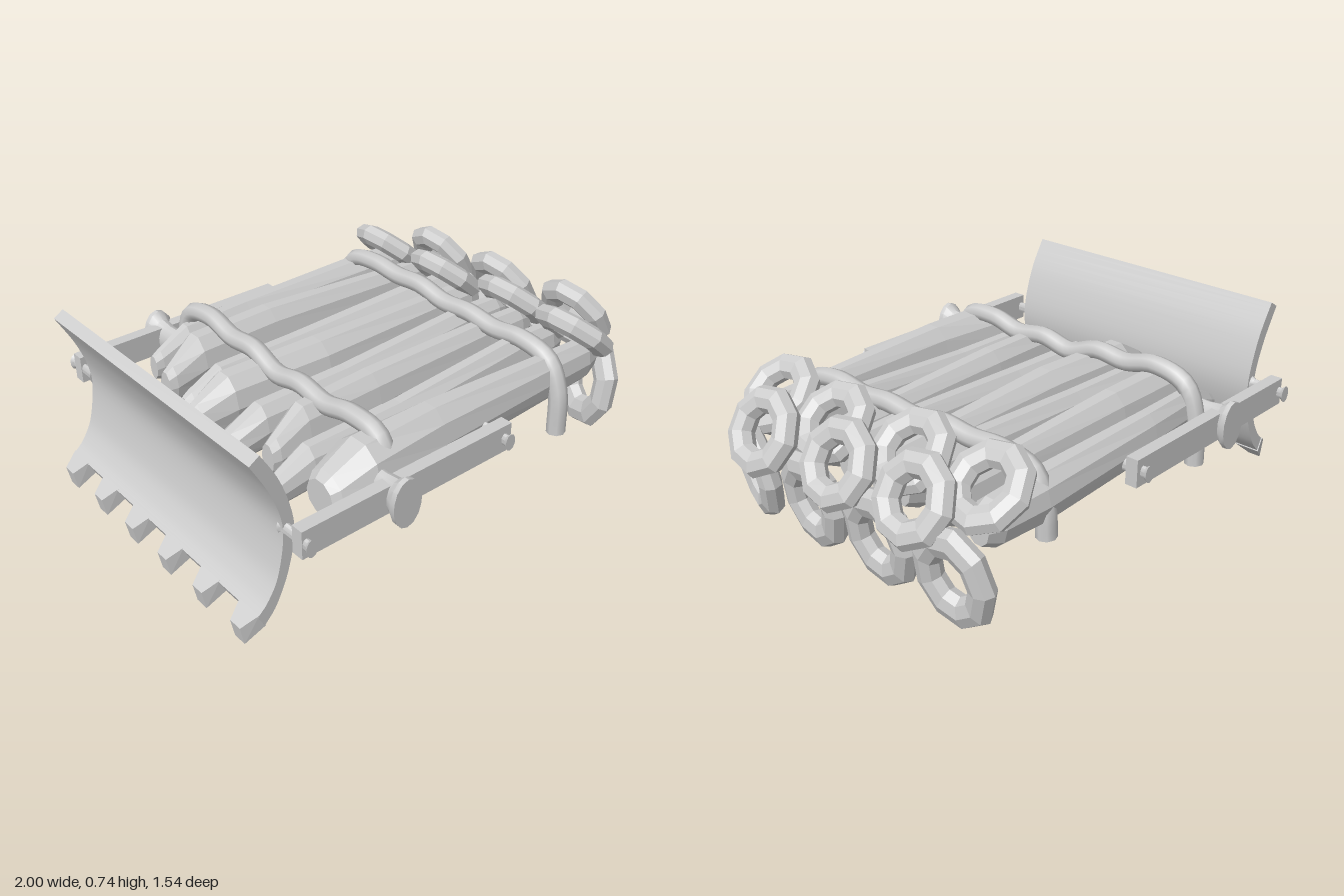
import * as THREE from 'three';
import { toCreasedNormals } from 'three/addons/utils/BufferGeometryUtils.js';

const flat = new THREE.MeshStandardMaterial({ color: 0xcccccc, flatShading: true });
const smooth = new THREE.MeshStandardMaterial({ color: 0xcccccc });

function add(parent, name, geometry, material = flat) {
  const mesh = new THREE.Mesh(geometry, material);
  mesh.name = name;
  parent.add(mesh);
  return mesh;
}

// Loft of ten-sided rings along x; each station is [x, y, z, halfHeight, halfWidth]
function loftLog(stations) {
  const last = stations.length - 1;
  const geo = new THREE.CylinderGeometry(1.04, 1.04, last, 10, last);
  geo.rotateZ(Math.PI / 2); // axis now runs along x
  const p = geo.attributes.position;
  for (let i = 0; i < p.count; i++) {
    const [x, y, z, h, w] = stations[Math.round(p.getX(i) + last / 2)];
    p.setXYZ(i, x, y + p.getY(i) * h, z + p.getZ(i) * w);
  }
  geo.computeVertexNormals();
  return geo;
}

// Round part along z, from a profile of [radius, z]
function turned(profile, sides, heightScale) {
  const geo = new THREE.LatheGeometry(profile.map(([r, z]) => new THREE.Vector2(r, z)), sides);
  geo.rotateX(Math.PI / 2);
  geo.scale(1, heightScale, 1);
  return toCreasedNormals(geo, 0.6);
}

function buildBlade() {
  const blade = new THREE.Group();
  blade.name = 'blade';
  const v = (x, y) => new THREE.Vector2(x, y);
  const shape = new THREE.Shape();
  shape.moveTo(-0.92, 0.065);
  shape.splineThru([v(-0.865, 0.13), v(-0.81, 0.26), v(-0.785, 0.42), v(-0.83, 0.6), v(-0.905, 0.74)]);
  shape.lineTo(-0.945, 0.715);
  shape.splineThru([v(-0.87, 0.57), v(-0.83, 0.42), v(-0.855, 0.25), v(-0.9, 0.16), v(-0.945, 0.115)]);
  const geo = new THREE.ExtrudeGeometry(shape, { depth: 1.225, bevelEnabled: false, curveSegments: 4 });
  geo.translate(0, 0, -0.615);
  add(blade, 'bladePlate', toCreasedNormals(geo, 0.6), smooth);

  // Tapered teeth along the lower lip
  for (let i = 0; i < 6; i++) {
    const z = -0.565 + i * 0.224;
    const tooth = new THREE.BoxGeometry(1, 1, 1);
    const p = tooth.attributes.position;
    for (let k = 0; k < p.count; k++) {
      const tip = p.getX(k) < 0, top = p.getY(k) > 0;
      const x = tip ? (top ? -1 : -0.985) : (top ? -0.94 : -0.915);
      const y = tip ? (top ? 0.08 : 0.003) : (top ? 0.12 : 0.064);
      p.setXYZ(k, x, y, z + p.getZ(k) * (tip ? 0.055 : 0.11));
    }
    add(blade, 'bladeTooth', tooth);
  }
  return blade;
}

function buildArm(side) {
  const arm = new THREE.Group();
  arm.name = side > 0 ? 'frontArm' : 'backArm';
  const bar = add(arm, 'armBar', new THREE.BoxGeometry(0.945, 0.11, 0.05));
  bar.position.set(-0.36, 0.415, 0);
  // Flared pivot hub
  const hub = add(arm, 'pivotHub',
    turned([[0, -0.13], [0.045, -0.13], [0.042, -0.03], [0.047, 0.03], [0.063, 0.06], [0.063, 0.08], [0, 0.08]], 14, 1.55), smooth);
  hub.position.set(-0.435, 0.415, side > 0 ? 0 : -0.022);
  // Headed pins at both ends
  for (const x of [-0.815, 0.08]) {
    const pin = add(arm, 'armPin',
      turned([[0, -0.1], [0.023, -0.1], [0.016, -0.085], [0.016, 0.04], [0.024, 0.055], [0, 0.055]], 10, 1.45), smooth);
    pin.position.set(x, 0.415, 0);
  }
  if (side < 0) arm.rotation.x = Math.PI;
  arm.position.set(0, side < 0 ? 0.83 : 0, side > 0 ? 0.685 : -0.713);
  return arm;
}

// Rope over the logs: heights run from front to back, ends hang down on both sides
function buildRope(name, x, heights, frontEnd, backEnd) {
  const points = [new THREE.Vector3(x, frontEnd, 0.615), new THREE.Vector3(x, 0.4, 0.603)];
  heights.forEach((y, i) => points.push(new THREE.Vector3(x, y, 0.545 - i * 0.142)));
  points.push(new THREE.Vector3(x, 0.42, -0.645), new THREE.Vector3(x, backEnd, -0.655));
  const rope = new THREE.Group();
  rope.name = name;
  add(rope, 'ropeBand', new THREE.TubeGeometry(new THREE.CatmullRomCurve3(points), 56, 0.038, 8), smooth);
  for (const end of [points[0], points[points.length - 1]]) {
    const cap = add(rope, 'ropeEnd', new THREE.CircleGeometry(0.038, 8));
    cap.position.copy(end);
    cap.rotation.x = Math.PI / 2;
  }
  return rope;
}

function buildRing(x, y, z, tilt, stretch = 1, yaw = 0) {
  const geo = new THREE.TorusGeometry(0.12, 0.053, 8, 9);
  geo.scale(1, stretch, 0.85);
  const ring = new THREE.Mesh(geo, flat);
  ring.name = 'ring';
  ring.position.set(x, y, z);
  ring.rotation.set(0, Math.PI / 2 - yaw, tilt, 'ZYX'); // yaw turns the ring towards +z
  return ring;
}

export function createModel() {
  const model = new THREE.Group();
  model.name = 'logRaftPlow';

  // Logs: start x, centre y, [z, halfWidth] at the tip, shoulder, middle and far end, halfHeight
  const logs = [
    [-0.58, 0.43, [-0.57, 0.035], [-0.575, 0.05], [-0.59, 0.06], [-0.6, 0.08], 0.09],
    [-0.63, 0.44, [-0.4, 0.045], [-0.425, 0.08], [-0.43, 0.078], [-0.42, 0.06], 0.115],
    [-0.64, 0.41, [-0.26, 0.04], [-0.255, 0.055], [-0.25, 0.06], [-0.24, 0.07], 0.09],
    [-0.7, 0.43, [-0.13, 0.05], [-0.125, 0.085], [-0.105, 0.09], [-0.12, 0.065], 0.115],
    [-0.68, 0.4, [0.05, 0.055], [0.055, 0.065], [0.06, 0.065], [0.05, 0.06], 0.095],
    [-0.61, 0.43, [0.23, 0.045], [0.21, 0.068], [0.2, 0.075], [0.18, 0.06], 0.11],
    [-0.7, 0.395, [0.36, 0.04], [0.36, 0.058], [0.36, 0.062], [0.35, 0.055], 0.09],
    [-0.61, 0.43, [0.52, 0.09], [0.53, 0.115], [0.53, 0.09], [0.53, 0.06], 0.122],
  ];
  const logGroup = new THREE.Group();
  logGroup.name = 'logs';
  for (const [x, y, tip, shoulder, mid, end, h] of logs) {
    add(logGroup, 'log', loftLog([
      [x, y - 0.045, tip[0], h * 0.55, tip[1] * 0.75],
      [x + 0.03, y - 0.04, tip[0], h * 0.7, tip[1]],
      [x + 0.16, y, shoulder[0], h, shoulder[1]],
      [-0.12, y + 0.005, mid[0], h, mid[1]],
      [0.5, 0.43, end[0], 0.097, end[1]],
      [0.7, 0.43, end[0], 0.088, end[1] * 0.9],
      [0.76, 0.43, end[0], 0.06, end[1] * 0.6],
    ]));
  }
  model.add(logGroup);

  // Bent ropes laid over the logs
  model.add(buildRope('leftRope', 0.49, [0.51, 0.545, 0.53, 0.545, 0.535, 0.56, 0.55, 0.56, 0.53], 0.22, 0.3));
  model.add(buildRope('rightRope', -0.37, [0.54, 0.56, 0.53, 0.55, 0.525, 0.57, 0.56, 0.59, 0.55], 0.34, 0.24));

  // Three overlapping rows of rings over the log ends
  const rings = new THREE.Group();
  rings.name = 'rings';
  const zRow = [-0.565, -0.21, 0.15, 0.485];
  const lowerYaw = [-0.05, 0, 0.05, 0.3];
  [0.675, 0.68, 0.725, 0.705].forEach((x, i) => {
    rings.add(buildRing(x, 0.535, zRow[i], 0.85));
    rings.add(buildRing(0.832, 0.268, zRow[i], -0.15, 1.2, lowerYaw[i]));
  });
  [[0.85, -0.405], [0.865, -0.045], [0.895, 0.335]].forEach(([x, z]) => rings.add(buildRing(x, 0.5, z, 0.53)));
  model.add(rings);

  model.add(buildBlade(), buildArm(1), buildArm(-1));
  return model;
}
